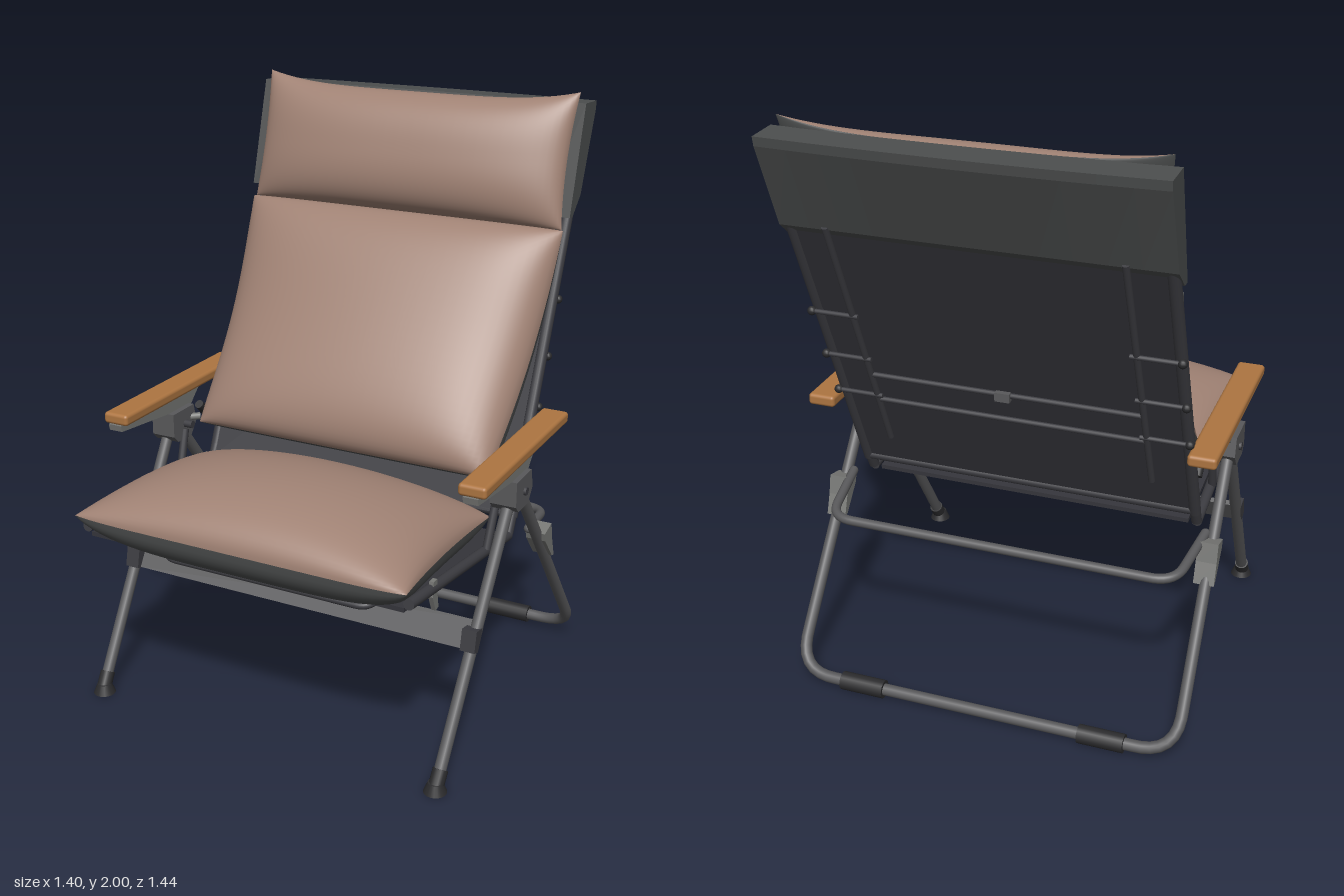
import * as THREE from 'three';
import { RoundedBoxGeometry } from 'three/addons/geometries/RoundedBoxGeometry.js';

const mat = (name, color, side = THREE.FrontSide) => {
  const m = new THREE.MeshStandardMaterial({ color, side });
  m.name = name;
  return m;
};
const V = (x, y, z) => new THREE.Vector3(x, y, z);
const lerp = THREE.MathUtils.lerp;

export function createModel() {
  const root = new THREE.Group();
  root.name = 'recliningCampChair';
  const fabric = mat('brown fabric', 0xa08274, THREE.DoubleSide);
  const grey = mat('grey fabric', 0x4c4e4e, THREE.DoubleSide);
  const panel = mat('dark panel', 0x35353b);
  const tube = mat('grey tube', 0x59595b);
  const dark = mat('dark tube', 0x3c3c41);
  const metal = mat('light metal', 0x777875);
  const rubber = mat('black rubber', 0x2b2b2d);
  const wood = mat('wood', 0xad7541);

  const add = (name, geo, material, parent = root) => {
    const m = new THREE.Mesh(geo, material);
    m.name = name;
    parent.add(m);
    return m;
  };

  // Straight capped rod between two points
  const rod = (name, a, b, r, material) => {
    const m = add(name, new THREE.CylinderGeometry(r, r, a.distanceTo(b), 14), material);
    m.position.copy(a).lerp(b, 0.5);
    m.quaternion.setFromUnitVectors(V(0, 1, 0), b.clone().sub(a).normalize());
    return m;
  };

  // Tube along a polyline with rounded corners
  const bent = (name, pts, r, bend, material) => {
    const path = new THREE.CurvePath();
    let from = pts[0];
    for (let i = 1; i < pts.length - 1; i++) {
      const p = pts[i];
      const a = p.clone().add(pts[i - 1].clone().sub(p).setLength(bend));
      const b = p.clone().add(pts[i + 1].clone().sub(p).setLength(bend));
      path.add(new THREE.LineCurve3(from, a));
      path.add(new THREE.QuadraticBezierCurve3(a, p, b));
      from = b;
    }
    path.add(new THREE.LineCurve3(from, pts[pts.length - 1]));
    add(name, new THREE.TubeGeometry(path, 110, r, 14), material);
    for (const e of [pts[0], pts[pts.length - 1]])
      add(name + 'End', new THREE.SphereGeometry(r, 14, 8), material).position.copy(e);
  };

  // Side profile of [z, y] points extruded across x0..x1
  const slab = (name, profile, x0, x1, material, steps = 1) => {
    const shape = new THREE.Shape(profile.map(p => new THREE.Vector2(...p)));
    const geo = new THREE.ExtrudeGeometry(shape, { depth: x1 - x0, steps, bevelEnabled: false });
    geo.rotateY(-Math.PI / 2).translate(x1, 0, 0);
    return add(name, geo, material);
  };

  // One inflated half of a cushion, rising from its rim along a normal
  const pad = (name, rim, normal, height, pu, pv, power, sign, material) => {
    const n = 36, pos = [], idx = [];
    for (let j = 0; j <= n; j++) for (let i = 0; i <= n; i++) {
      const u = Math.sin((i / n - 0.5) * Math.PI), v = Math.sin((j / n - 0.5) * Math.PI);
      const f = Math.max(0, (1 - Math.abs(u) ** pu) * (1 - Math.abs(v) ** pv)) ** power;
      const p = rim(u, v).addScaledVector(normal, sign * height(v) * f);
      pos.push(p.x, p.y, p.z);
      if (i < n && j < n) {
        const a = j * (n + 1) + i, b = a + 1, c = a + n + 1, d = c + 1;
        if (sign > 0) idx.push(a, b, d, a, d, c);
        else idx.push(a, d, b, a, c, d);
      }
    }
    const geo = new THREE.BufferGeometry();
    geo.setAttribute('position', new THREE.Float32BufferAttribute(pos, 3));
    geo.setIndex(idx);
    geo.computeVertexNormals();
    add(name, geo, material);
  };

  // Seat cushion, v runs front to back
  const seatRim = (u, v) => {
    const t = (v + 1) / 2;
    const half = lerp(0.588, 0.555, t) - 0.015 * (1 - v * v);
    return V(u * half, lerp(0.745, 0.69, t), lerp(0.72, -0.03, t) - 0.015 * u ** 8 * -v);
  };
  pad('seatCushionTop', seatRim, V(0, 1, 0.04).normalize(), () => 0.175, 2, 2, 0.5, 1, fabric);
  pad('seatCushionBase', seatRim, V(0, 1, 0.04).normalize(), () => 0.135, 4, 4, 0.42, -1, grey);

  // Back cushion, v runs bottom to top, sides sag backwards
  const backRim = (u, v) => {
    const t = (v + 1) / 2, sag = 0.065 * (1 - v * v) * u * u;
    return V(u * lerp(0.55, 0.598, t), lerp(0.84, 1.56, t) - sag * 0.58, lerp(0.02, -0.47, t) - sag * 0.81);
  };
  const backN = V(0, 0.56, 0.83);
  pad('backCushionFront', backRim, backN, () => 0.115, 6, 4, 0.5, 1, fabric);
  pad('backCushionRear', backRim, backN, v => 0.08 - 0.05 * v, 8, 6, 0.35, -1, grey);

  // Head pillow with raised top corners
  const pillowRim = (u, v) => {
    const t = (v + 1) / 2;
    return V(u * (0.59 - 0.014 * (1 - v * v)), lerp(1.56, 1.96 + 0.04 * u ** 4, t), lerp(-0.475, -0.6, t));
  };
  const pillowN = V(0, 0.28, 0.96);
  pad('headPillowFront', pillowRim, pillowN, () => 0.125, 2.6, 2.6, 0.5, 1, fabric);
  pad('headPillowRear', pillowRim, pillowN, () => 0.02, 4, 4, 0.5, -1, grey);

  // Fabric sleeve over the top of the back, bowed backwards
  const sleeve = slab('topSleeve', [[-0.595, 1.965], [-0.705, 1.96], [-0.7, 1.93], [-0.59, 1.66], [-0.52, 1.6], [-0.49, 1.6]],
    -0.612, 0.612, grey, 12).geometry;
  const sp = sleeve.attributes.position;
  for (let i = 0; i < sp.count; i++) {
    const bow = 1 - (sp.getX(i) / 0.612) ** 2;
    if (sp.getZ(i) < -0.59 && sp.getY(i) > 1.7) sp.setZ(i, sp.getZ(i) - 0.018 * bow);
  }
  sleeve.computeVertexNormals();

  // Back panel and its rear rods
  const back = (x, y, off = 0) => V(x, y - off * 0.39, -0.13 - (y - 0.65) * 0.426 - off * 0.92);
  slab('backPanel', [[-0.115, 0.66], [-0.145, 0.66], [-0.59, 1.7], [-0.56, 1.7]], -0.575, 0.575, panel);
  for (const y of [0.98, 1.09]) rod('backCrossRod', back(-0.46, y, 0.026), back(0.46, y, 0.026), 0.009, dark);
  add('backBuckle', new THREE.BoxGeometry(0.05, 0.03, 0.02), tube).position.copy(back(0, 1.09, 0.035));
  rod('backLowerRail', back(-0.585, 0.66), back(0.585, 0.66), 0.018, dark);

  // Underside of the seat
  slab('seatPanel', [[0.66, 0.675], [0.66, 0.66], [-0.1, 0.585], [-0.1, 0.6]], -0.56, 0.56, panel);
  bent('frontHandleLoop', [V(0.4, 0.61, 0.36), V(0.38, 0.562, 0.52), V(-0.38, 0.562, 0.52), V(-0.4, 0.61, 0.36)], 0.012, 0.05, dark);

  // Rear leg loop, rear brace loop and front cross plate
  bent('rearLegLoop', [V(0.66, 0.82, 0.01), V(0.668, 0.032, -0.6), V(-0.668, 0.032, -0.6), V(-0.66, 0.82, 0.01)], 0.02, 0.13, tube);
  bent('rearBrace', [V(0.635, 0.6, -0.17), V(0.6, 0.56, -0.425), V(-0.6, 0.56, -0.425), V(-0.635, 0.6, -0.17)], 0.016, 0.08, tube);
  const plate = add('frontCrossPlate', new THREE.BoxGeometry(1.26, 0.098, 0.018), tube);
  plate.position.set(0, 0.425, 0.3);
  plate.rotation.x = -0.55;

  for (const s of [1, -1]) {
    const P = (x, y, z) => V(s * x, y, z);
    const side = (name, profile, x0, x1, material) =>
      slab(name, profile, s > 0 ? x0 : -x1, s > 0 ? x1 : -x0, material);

    // Armrest with its bracket and hub
    add('armrest', new RoundedBoxGeometry(0.094, 0.04, 0.735, 3, 0.012), wood).position.set(s * 0.648, 0.954, 0.018);
    side('armBracket', [[0.39, 0.936], [0.385, 0.914], [0.12, 0.886], [-0.03, 0.87], [-0.06, 0.9], [-0.1, 0.936]], 0.622, 0.672, metal);
    side('armHub', [[0.11, 0.885], [0.11, 0.8], [0.085, 0.775], [0, 0.775], [-0.035, 0.82], [-0.02, 0.885]], 0.6, 0.69, tube);
    rod('hubBolt', P(0.57, 0.83, 0.035), P(0.698, 0.83, 0.035), 0.014, dark);

    // Front leg and foot
    rod('frontLeg', P(0.652, 0.83, 0.05), P(0.632, 0.02, 0.555), 0.02, tube);
    add('frontFoot', new THREE.CylinderGeometry(0.024, 0.038, 0.034, 20), rubber).position.copy(P(0.63, 0.017, 0.556));
    rod('footCollar', P(0.632, 0.02, 0.555), P(0.634, 0.065, 0.527), 0.025, rubber);
    side('crossPlateClip', [[0.335, 0.46], [0.35, 0.39], [0.32, 0.38], [0.28, 0.45]], 0.612, 0.662, dark);

    // Rear leg clamp and floor pad
    side('rearLegClamp', [[-0.17, 0.59], [-0.235, 0.605], [-0.25, 0.54], [-0.275, 0.47], [-0.255, 0.475], [-0.18, 0.56]], 0.625, 0.694, metal);
    rod('rearFloorPad', P(0.345, 0.032, -0.6), P(0.5, 0.032, -0.6), 0.031, rubber);

    // Back and seat side rails
    rod('backRail', back(s * 0.588, 0.65), back(s * 0.588, 1.93), 0.02, dark);
    rod('seatRail', P(0.575, 0.69, 0.66), P(0.588, 0.595, -0.1), 0.018, dark);
    rod('seatBackLink', P(0.588, 0.6, -0.1), back(s * 0.588, 0.72), 0.018, dark);
    rod('seatHanger', P(0.6, 0.81, 0.04), P(0.592, 0.63, 0.1), 0.014, dark);
    side('seatClip', [[0.515, 0.7], [0.52, 0.65], [0.495, 0.595], [0.475, 0.6], [0.485, 0.65], [0.49, 0.7]], 0.575, 0.59, metal);

    // Recline lever, rear upright rod and side knobs
    rod('reclineLever', P(0.59, 0.88, -0.04), P(0.59, 0.785, -0.135), 0.016, rubber);
    rod('leverPivot', P(0.58, 0.84, -0.03), P(0.64, 0.84, 0.02), 0.013, metal);
    rod('backUprightRod', back(s * 0.46, 0.8, 0.026), back(s * 0.46, 1.68, 0.026), 0.011, dark);
    for (const y of [1.0, 1.16, 1.34]) {
      rod('sidePin', back(s * 0.44, y, 0.03), back(s * 0.605, y, 0.03), 0.008, dark);
      add('sideKnob', new THREE.SphereGeometry(0.015, 12, 8), rubber).position.copy(back(s * 0.6, y, 0.03));
    }
  }
  return root;
}
